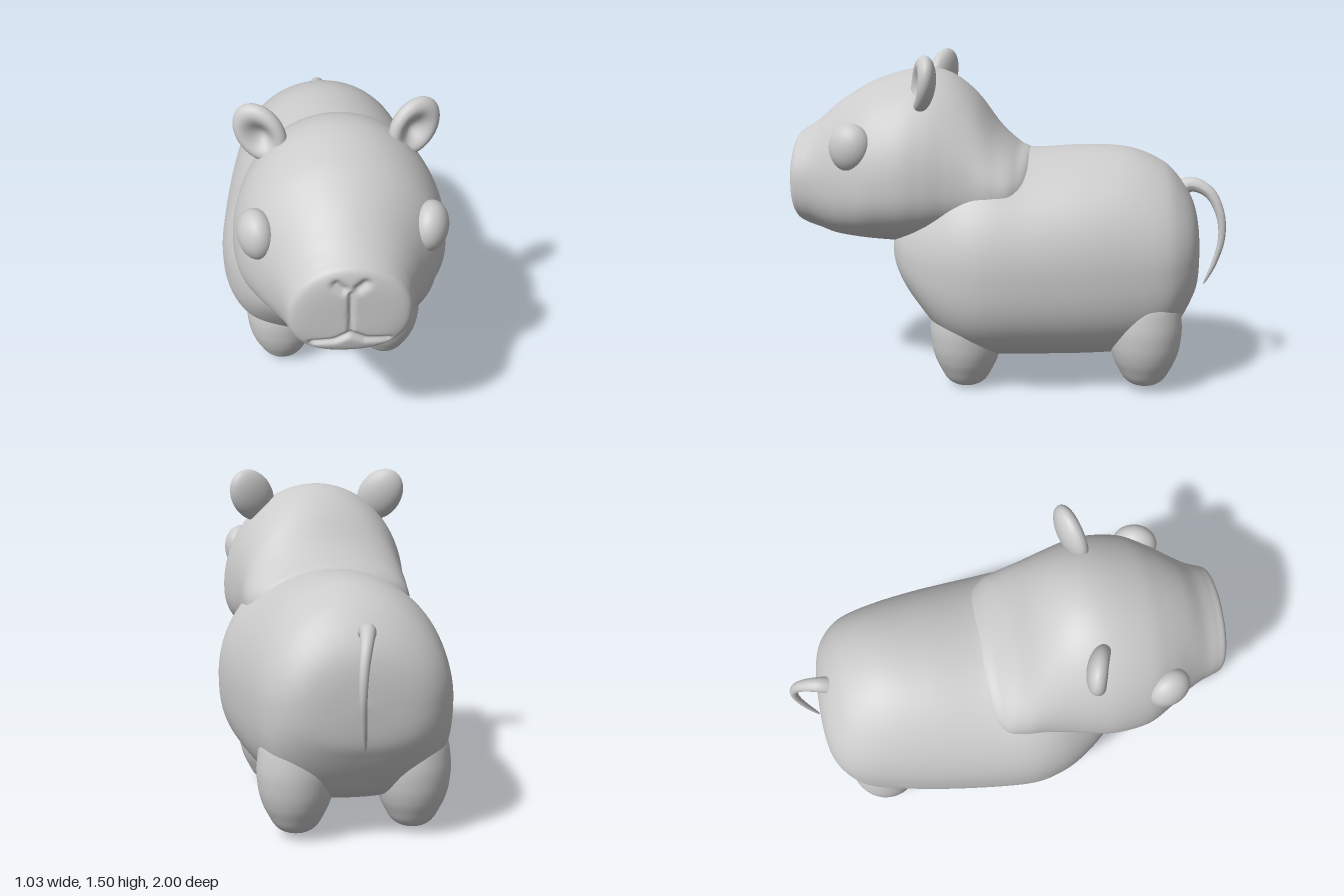
import * as THREE from 'three';

const material = new THREE.MeshStandardMaterial({ color: 0xcccccc, roughness: 0.8 });

// Smooth interpolation through four neighbouring values
const spline = (a, b, c, d, t) =>
  b + 0.5 * t * (c - a + t * (2 * a - 5 * b + 4 * c - d + t * (3 * (b - c) + d - a)));

// Rounded sections along z; each section is [z, bottom, top, halfWidth, yOfWidest]
function loft(sections, lowPower, steps = 8, sides = 96) {
  const pos = [], index = [];
  const last = sections.length - 1, rings = last * steps;
  const pick = i => sections[Math.min(last, Math.max(0, i))];
  for (let i = 0; i <= rings; i++) {
    const k = Math.min(last - 1, Math.floor(i / steps)), t = i / steps - k;
    const [z, bottom, top, w, mid] = sections[0].map((_, n) =>
      spline(pick(k - 1)[n], pick(k)[n], pick(k + 1)[n], pick(k + 2)[n], t));
    for (let j = 0; j < sides; j++) {
      const a = j / sides * Math.PI * 2, s = Math.sin(a), c = Math.cos(a);
      const p = c < 0 ? 2 / lowPower : 1;
      const x = Math.sign(s) * Math.abs(s) ** p * Math.max(0, w);
      const y = mid + (c < 0 ? -(Math.abs(c) ** p) * (mid - bottom) : c * (top - mid));
      pos.push(x, y, z);
      if (i < rings) {
        const j2 = (j + 1) % sides, A = i * sides + j, B = i * sides + j2;
        index.push(A, A + sides, B, B, A + sides, B + sides);
      }
    }
  }
  const g = new THREE.BufferGeometry();
  g.setAttribute('position', new THREE.Float32BufferAttribute(pos, 3));
  g.setIndex(index);
  g.computeVertexNormals();
  return g;
}

// Move every vertex by a rule, then refresh the normals
function deform(g, rule) {
  const p = g.attributes.position, v = new THREE.Vector3();
  for (let i = 0; i < p.count; i++) {
    rule(v.fromBufferAttribute(p, i), i);
    p.setXYZ(i, v.x, v.y, v.z);
  }
  g.computeVertexNormals();
  return g;
}

// Distance from (x, y) to a segment
function segmentDistance(x, y, [ax, ay, bx, by]) {
  const dx = bx - ax, dy = by - ay;
  const t = THREE.MathUtils.clamp(((x - ax) * dx + (y - ay) * dy) / (dx * dx + dy * dy), 0, 1);
  return Math.hypot(x - ax - t * dx, y - ay - t * dy);
}

function torsoGeometry() {
  return loft([
    [-0.878, 0.6, 0.6, 0, 0.6],
    [-0.868, 0.46, 0.74, 0.18, 0.6],
    [-0.84, 0.38, 0.84, 0.285, 0.6],
    [-0.78, 0.27, 0.935, 0.36, 0.59],
    [-0.7, 0.18, 1.01, 0.405, 0.58],
    [-0.55, 0.14, 1.07, 0.44, 0.57],
    [-0.35, 0.125, 1.08, 0.475, 0.56],
    [-0.1, 0.12, 1.065, 0.505, 0.55],
    [0.08, 0.12, 1.08, 0.515, 0.55],
    [0.2, 0.15, 1.06, 0.495, 0.56],
    [0.3, 0.22, 1.0, 0.455, 0.57],
    [0.4, 0.34, 0.93, 0.39, 0.59],
    [0.47, 0.44, 0.84, 0.32, 0.61],
    [0.52, 0.54, 0.74, 0.2, 0.63],
    [0.54, 0.64, 0.64, 0, 0.64],
  ], 2.6);
}

function headGeometry() {
  const g = loft([
    [-0.14, 0.9, 0.9, 0, 0.9],
    [-0.11, 0.75, 1.045, 0.27, 0.9],
    [-0.04, 0.72, 1.09, 0.37, 0.9],
    [0.05, 0.7, 1.175, 0.395, 0.9],
    [0.15, 0.68, 1.31, 0.4, 0.91],
    [0.25, 0.66, 1.395, 0.415, 0.92],
    [0.35, 0.645, 1.43, 0.438, 0.92],
    [0.46, 0.64, 1.425, 0.452, 0.92],
    [0.6, 0.645, 1.385, 0.435, 0.92],
    [0.7, 0.65, 1.335, 0.385, 0.92],
    [0.8, 0.66, 1.27, 0.317, 0.92],
    [0.88, 0.685, 1.2, 0.275, 0.92],
    [0.94, 0.705, 1.16, 0.255, 0.92],
    [0.978, 0.73, 1.135, 0.238, 0.92],
    [0.994, 0.775, 1.09, 0.195, 0.92],
    [1.0, 0.84, 1.02, 0.11, 0.92],
    [1.0, 0.92, 0.92, 0, 0.92],
  ], 2.4, 10, 128);
  // Nostrils, the groove below the nose and the down-turned mouth
  const grooves = [
    [0, 1.03, 0, 0.83, 0.014, 0.012], [0.03, 1.055, 0.055, 1.075, 0.018, 0.02],
    [0, 0.83, 0.06, 0.795, 0.02, 0.014], [0.06, 0.795, 0.15, 0.785, 0.018, 0.014],
  ];
  return deform(g, v => {
    if (v.z < 0.9) return;
    const cut = grooves.map(s =>
      s[4] * Math.exp(-((segmentDistance(Math.abs(v.x), v.y, s) / s[5]) ** 2)));
    v.z -= Math.max(...cut);
  });
}

// Rounded foot that swells into the body
function legGeometry() {
  const profile = [[0, 0], [0.05, 0.004], [0.09, 0.03], [0.12, 0.08], [0.143, 0.13],
    [0.16, 0.2], [0.163, 0.3], [0.13, 0.42], [0, 0.5]];
  const curve = new THREE.SplineCurve(profile.map(p => new THREE.Vector2(...p)));
  const points = curve.getPoints(40);
  points.forEach(p => { p.x = Math.max(0, p.x); });
  return new THREE.LatheGeometry(points, 48);
}

// Flattened ball with a hollow front
function earGeometry() {
  return deform(new THREE.SphereGeometry(1, 48, 32), v => {
    if (v.z > 0) v.z -= 1.3 * Math.exp(-(v.x ** 2 + (v.y + 0.1) ** 2) / 0.3) * v.z;
    v.set(v.x * 0.105, v.y * 0.135, v.z * 0.058);
  });
}

// Tube that thins towards its tip
function tailGeometry() {
  const path = new THREE.CatmullRomCurve3([
    [-0.015, 0.87, -0.77], [-0.01, 0.9, -0.84], [0.01, 0.865, -0.92], [0.03, 0.77, -0.97],
    [0.035, 0.66, -0.98], [0.025, 0.54, -0.952], [0.01, 0.43, -0.905],
  ].map(p => new THREE.Vector3(...p)));
  const rings = 60, sides = 16;
  return deform(new THREE.TubeGeometry(path, rings, 1, sides), (v, i) => {
    const u = Math.floor(i / (sides + 1)) / rings, centre = path.getPointAt(u);
    const radius = (0.016 + 0.028 * (1 - u) ** 3) * Math.sqrt(1 - u ** 4);
    v.sub(centre).multiplyScalar(radius).add(centre);
  });
}

export function createModel() {
  const model = new THREE.Group();
  const add = (name, geometry, x = 0, y = 0, z = 0) => {
    const mesh = new THREE.Mesh(geometry, material);
    mesh.name = name;
    mesh.position.set(x, y, z);
    model.add(mesh);
    return mesh;
  };

  add('torso', torsoGeometry());
  add('head', headGeometry());
  add('tail', tailGeometry());

  const leg = legGeometry(), ear = earGeometry(), eye = new THREE.SphereGeometry(1, 40, 28);
  for (const [side, s] of [['left', 1], ['right', -1]]) {
    add(side + 'FrontLeg', leg, s * 0.25, 0, 0.18);
    add(side + 'BackLeg', leg, s * 0.25, 0.022, -0.63);

    const eyeball = add(side + 'Eye', eye, s * 0.352, 1.1, 0.675);
    eyeball.scale.set(0.075, 0.108, 0.1);
    eyeball.rotation.y = s * -0.35;

    const earMesh = add(side + 'Ear', ear, s * 0.318, 1.378, 0.36);
    earMesh.rotation.set(-0.1, s * 0.35, s * -0.6);
  }
  return model;
}
